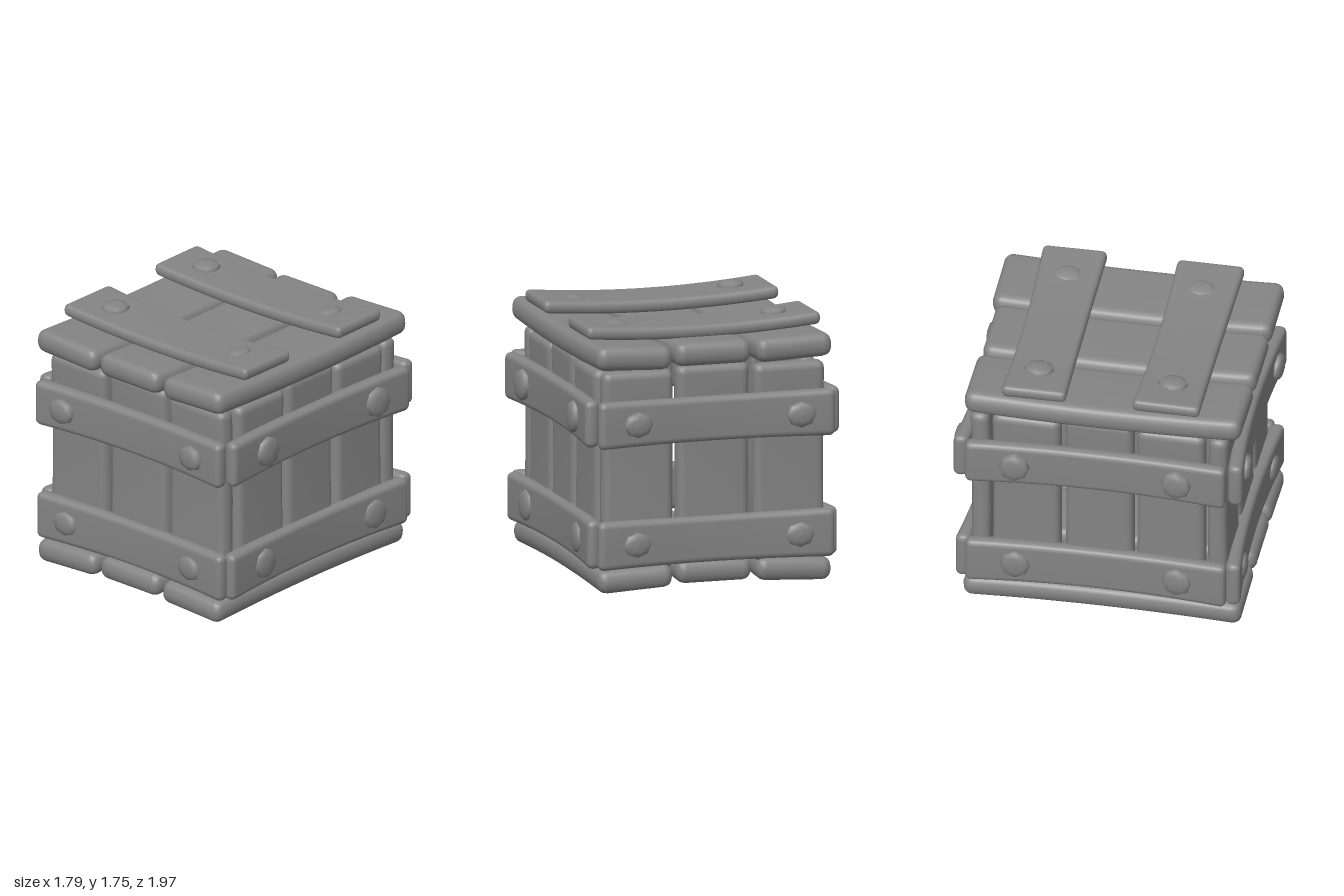
import * as THREE from 'three';
import { mergeVertices } from 'three/addons/utils/BufferGeometryUtils.js';

const material = new THREE.MeshStandardMaterial({ color: 0x848484 });

// Grid index (0..1) to a coordinate, with two cells in each rounded edge band
function spread(t, cells, half, r) {
  const i = Math.round(t * cells);
  const inner = half - r;
  if (i <= 2) return -half + (r * i) / 2;
  if (i >= cells - 2) return half - (r * (cells - i)) / 2;
  return -inner + (2 * inner * (i - 2)) / (cells - 4);
}

// Soft-edged board along x, its ends bowed towards +z and its waist pinched
function boardGeometry(length, width, thick, bow, pinch) {
  const size = [length, width, thick];
  const cells = [14, 6, 5];
  const r = Math.min(0.065, thick * 0.42);
  let geo = new THREE.BoxGeometry(1, 1, 1, ...cells);
  const pos = geo.attributes.position;
  const p = new THREE.Vector3(), core = new THREE.Vector3();
  for (let i = 0; i < pos.count; i++) {
    p.fromBufferAttribute(pos, i);
    for (let k = 0; k < 3; k++) {
      const half = size[k] / 2;
      const c = spread(p.getComponent(k) + 0.5, cells[k], half, r);
      p.setComponent(k, c);
      core.setComponent(k, THREE.MathUtils.clamp(c, r - half, half - r));
    }
    p.sub(core).setLength(r).add(core);
    const t = (2 * p.x) / length;
    p.y *= 1 - pinch * (1 - t * t);
    p.z += bow * (t * t - 1);
    pos.setXYZ(i, p.x, p.y, p.z);
  }
  geo.deleteAttribute('normal');
  geo.deleteAttribute('uv');
  geo = mergeVertices(geo, 1e-5);
  geo.computeVertexNormals();
  return geo;
}

// Board on a panel: (x, y) is its centre, out its outer surface at the ends
function addBoard(panel, name, o) {
  const geo = boardGeometry(o.length, o.width, o.thick, o.bow, o.pinch ?? 0);
  if (o.upright) geo.rotateZ(Math.PI / 2);
  const mesh = new THREE.Mesh(geo, material);
  mesh.name = name;
  mesh.position.set(o.x, o.y, o.out - o.thick / 2);
  mesh.rotation.set(0, o.roll ?? 0, o.turn ?? 0);
  panel.add(mesh);
}

// Low-sided, nearly flat bolt head facing +z
const boltGeometry = new THREE.LatheGeometry(
  [[0.1, -0.03], [0.1, 0.01], [0.088, 0.03], [0.05, 0.04], [0, 0.043]]
    .map(([x, y]) => new THREE.Vector2(x, y)), 8);
boltGeometry.rotateX(Math.PI / 2);

function addBolt(panel, x, y, z, sx, sy, tilt) {
  const bolt = new THREE.Mesh(boltGeometry, material);
  bolt.name = 'bolt';
  bolt.position.set(x, y, z);
  bolt.scale.set(sx, sy, 1);
  bolt.rotation.y = tilt;
  panel.add(bolt);
}

function addPanel(root, name, rx, ry) {
  const panel = new THREE.Group();
  panel.name = name;
  panel.rotation.set(rx, ry, 0);
  root.add(panel);
  return panel;
}

// Wall: three upright planks, two battens and four bolts
function addWall(root, name, angle, w) {
  const wall = addPanel(root, name, 0, angle);
  w.planks.forEach(([x, width, top]) => addBoard(wall, 'wallPlank', {
    x, y: (top + 0.15) / 2, length: top - 0.15, width, thick: 0.13,
    out: w.face, upright: true, bow: 0.012, pinch: 0.02,
  }));
  // Each batten: height, width, offset outwards, bolt depth
  [[0.335, 0.325, 0, 0.038], [1.14, 0.315, 0.015, 0.022]].forEach(([y, width, lift, sink], row) => {
    const out = w.battenOut + lift;
    addBoard(wall, 'wallBatten', {
      x: w.shift, y, length: w.battenLength, width, thick: 0.1,
      out, bow: 0.045, pinch: 0.06,
    });
    w.bolts[row].forEach((x) => addBolt(wall, x, y, out - sink, 1, w.boltHeight,
      x > 0 ? -0.06 : 0.06));
  });
}

export function createModel() {
  const root = new THREE.Group();
  root.name = 'crate';

  // Front and back walls
  const wide = {
    planks: [[-0.535, 0.49, 1.47], [-0.01, 0.5, 1.49], [0.505, 0.49, 1.475]],
    face: 0.86, battenOut: 0.95, battenLength: 1.62, shift: -0.005,
    bolts: [[-0.57, 0.515], [-0.58, 0.55]], boltHeight: 0.86,
  };
  addWall(root, 'frontWall', 0, wide);
  addWall(root, 'backWall', Math.PI, {
    ...wide, shift: 0.005, bolts: [[-0.54, 0.58], [-0.54, 0.58]],
    planks: wide.planks.map(([x, w, t]) => [-x, w, t]),
  });

  // Side walls, mirrored
  for (const s of [-1, 1]) {
    const bolts = [-s * 0.53, s * 0.545];
    addWall(root, s < 0 ? 'rightWall' : 'leftWall', (s * Math.PI) / 2, {
      planks: [[-s * 0.475, 0.46, 1.47], [0, 0.46, 1.5], [s * 0.485, 0.46, 1.47]],
      face: 0.77, battenOut: 0.86, battenLength: 1.73, shift: -0.01,
      bolts: [bolts, bolts], boltHeight: 1.05,
    });
  }

  // Floor: three planks sagging at the ends, outer ones rolled outwards
  const floor = addPanel(root, 'floor', Math.PI / 2, 0);
  [[-0.555, -0.015, 0.05], [-0.005, -0.04, 0], [0.535, -0.015, -0.05]]
    .forEach(([x, out, roll]) => addBoard(floor, 'floorPlank', {
      x, y: 0.025, length: 1.85, width: 0.515, thick: 0.155,
      out, roll, bow: 0.025, upright: true,
    }));

  // Lid: three planks, two battens across and four bolts
  const lid = addPanel(root, 'lid', -Math.PI / 2, 0);
  [[-0.56, 1.65, 0.04, 1.84], [-0.01, 1.645, 0, 1.82], [0.545, 1.65, -0.04, 1.86]]
    .forEach(([x, out, roll, length]) => addBoard(lid, 'lidPlank', {
      x, y: length / 2 - 0.95, length, width: 0.52, thick: 0.16,
      out, roll, bow: 0.022, upright: true,
    }));
  [[-0.455, 0.45, -0.004], [0.435, 0.43, 0.012]].forEach(([y, width, turn]) => {
    addBoard(lid, 'lidBatten', {
      x: -0.01, y, length: 1.61, width, thick: 0.085,
      out: 1.75, bow: 0.04, pinch: 0.06, turn,
    });
    addBolt(lid, -0.55, y, 1.72, 0.9, 1, 0.05);
    addBolt(lid, 0.52, y + 0.01, 1.702, 0.85, 1, -0.2);
  });

  return root;
}
